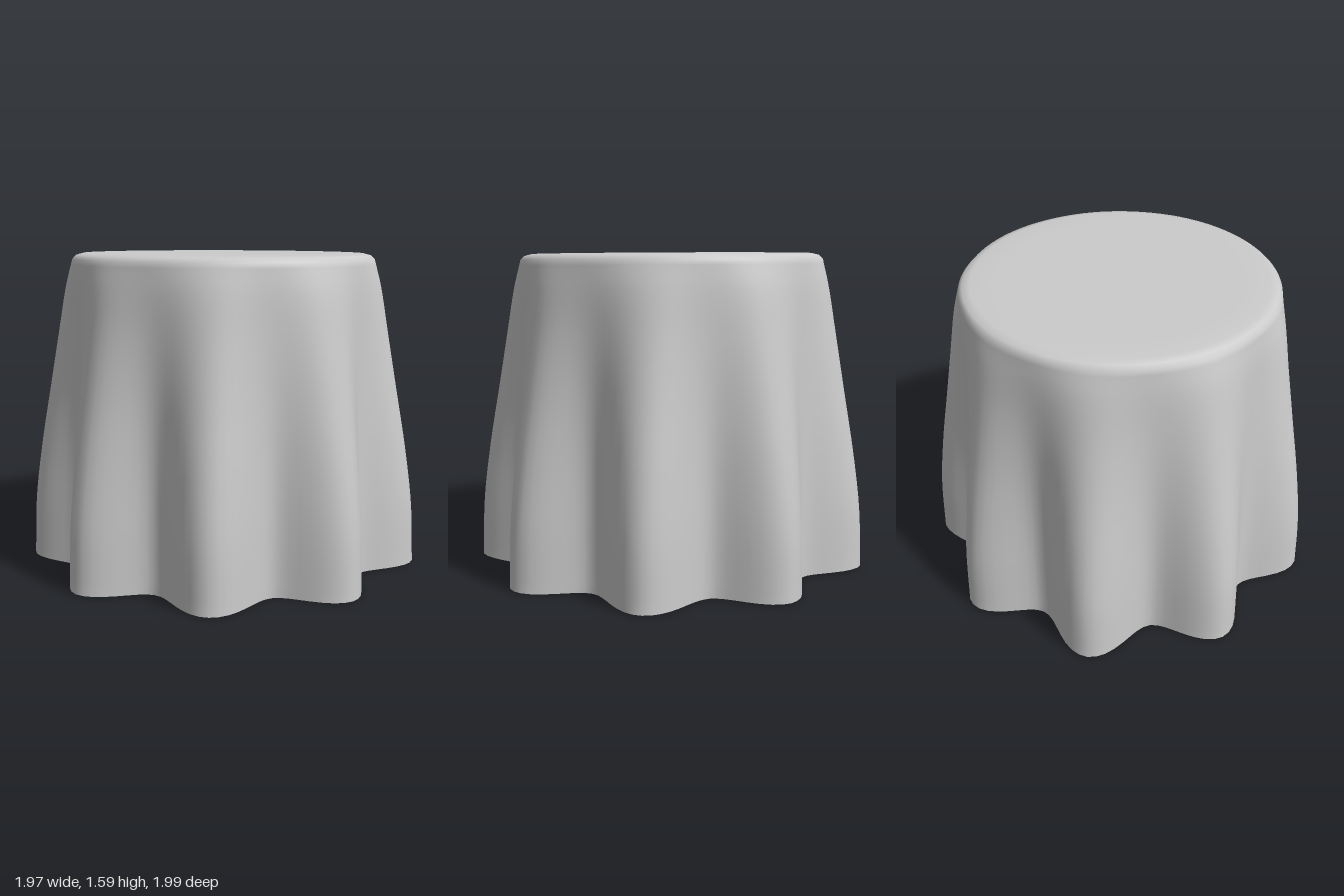
import * as THREE from 'three';

const FOLDS = 9, SEGMENTS = 144, CENTER_X = -0.027;

// Draped cloth: each ring runs between a valley radius and a fold-peak radius
function drapeRings() {
  // [valley radius, height, peak radius], hem to shoulder
  const profile = [
    [0.81, 0, 1.012], [0.808, 0.3, 0.998], [0.803, 0.6, 0.958], [0.798, 0.9, 0.905],
    [0.793, 1.2, 0.852], [0.787, 1.42, 0.812], [0.775, 1.55, 0.777],
  ];
  const curve = new THREE.CatmullRomCurve3(profile.map((p) => new THREE.Vector3(...p)));
  const rings = curve.getPoints(30).map((p) => [p.x, p.y, p.z]);
  // Soft rim and nearly flat top
  rings.push([0.757, 1.57, 0.758], [0.72, 1.58, 0.72], [0.6, 1.581, 0.6], [0.3, 1.582, 0.3]);
  return rings;
}

function drapeGeometry() {
  const rings = drapeRings();
  const positions = [], index = [];
  const addPoint = (x, y, z) => positions.push(x + CENTER_X, y + 0.004 * (1 - x), z); // slight lean

  for (const [valley, y, peak] of rings) {
    for (let i = 0; i < SEGMENTS; i++) {
      const a = (i / SEGMENTS) * Math.PI * 2;
      const r = (valley + peak) / 2 + ((peak - valley) / 2) * Math.cos(FOLDS * a);
      addPoint(r * Math.cos(a), y, r * Math.sin(a));
    }
  }
  const apex = rings.length * SEGMENTS;
  addPoint(0, 1.582, 0);

  for (let j = 0; j < rings.length; j++) {
    for (let i = 0; i < SEGMENTS; i++) {
      const a = j * SEGMENTS + i, b = j * SEGMENTS + ((i + 1) % SEGMENTS);
      if (j === rings.length - 1) index.push(a, apex, b);
      else index.push(a, a + SEGMENTS, b, b, a + SEGMENTS, b + SEGMENTS);
    }
  }
  const geometry = new THREE.BufferGeometry();
  geometry.setAttribute('position', new THREE.Float32BufferAttribute(positions, 3));
  geometry.setIndex(index);
  geometry.computeVertexNormals();
  return geometry;
}

export function createModel() {
  const group = new THREE.Group();
  group.name = 'drapedTable';
  const material = new THREE.MeshStandardMaterial({ color: 0xcccccc, side: THREE.DoubleSide });
  const cloth = new THREE.Mesh(drapeGeometry(), material);
  cloth.name = 'tablecloth';
  group.add(cloth);
  return group;
}
